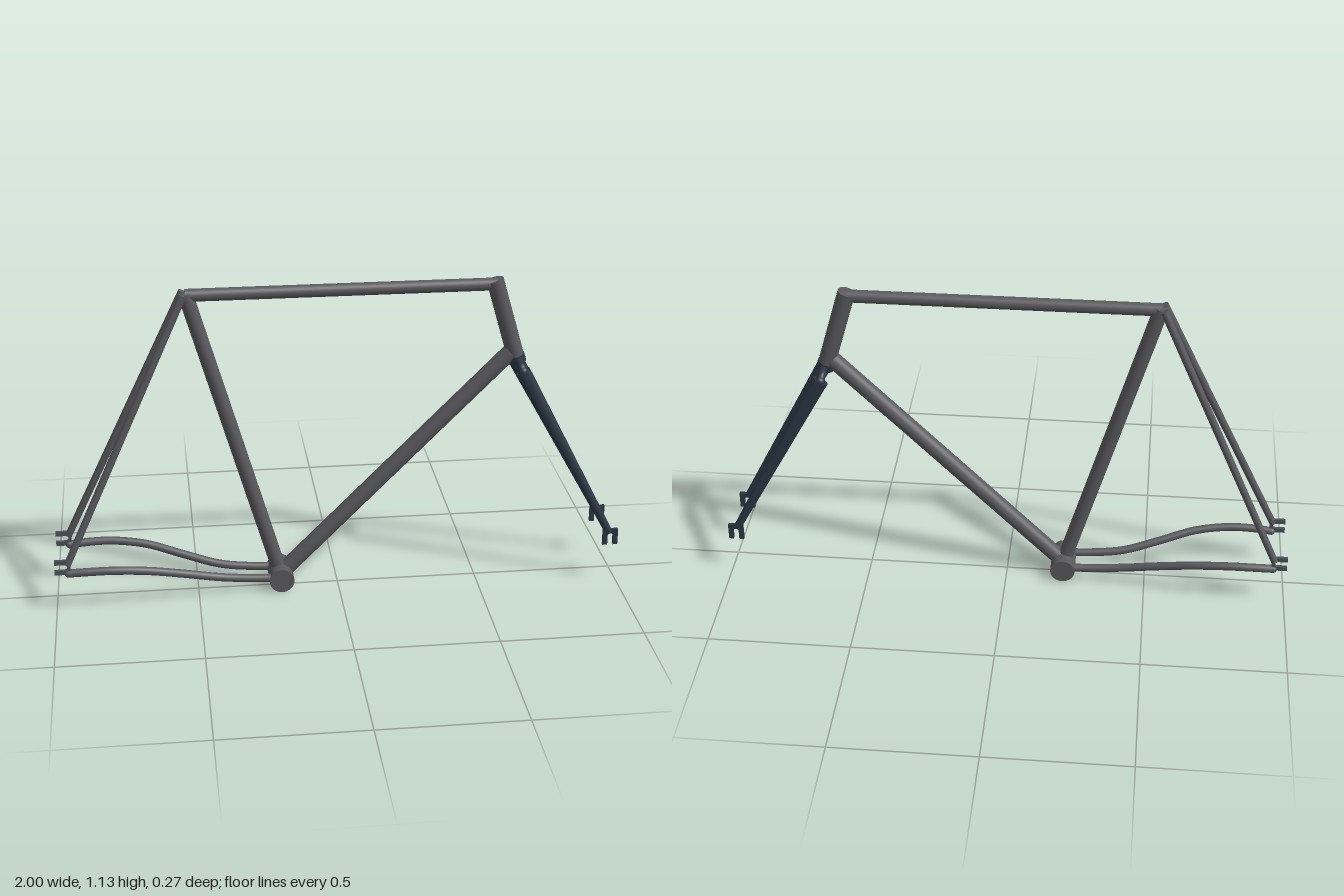
import * as THREE from 'three';

const V = (x, y, z = 0) => new THREE.Vector3(x, y, z);

export function createModel() {
  const model = new THREE.Group();
  model.name = 'bicycleFrame';
  const frameMat = new THREE.MeshStandardMaterial({ color: 0x59595e });
  const forkMat = new THREE.MeshStandardMaterial({ color: 0x2b3644 });
  const dropoutMat = new THREE.MeshStandardMaterial({ color: 0x4a5058 });

  const add = (name, geometry, material) => {
    const mesh = new THREE.Mesh(geometry, material);
    mesh.name = name;
    model.add(mesh);
    return mesh;
  };

  // Straight tube from a to b; flat < 1 gives an oval section, thinner along z
  const tube = (name, a, b, ra, rb, material = frameMat, flat = 1) => {
    const geo = new THREE.CylinderGeometry(rb, ra, a.distanceTo(b), 32);
    geo.scale(1, 1, flat);
    const mesh = add(name, geo, material);
    mesh.position.copy(a).lerp(b, 0.5);
    mesh.quaternion.setFromUnitVectors(V(0, 1, 0), b.clone().sub(a).normalize());
    return mesh;
  };

  // Forked plate: opening points along -y, origin at the centre of its closed edge
  const dropoutGeometry = (width, length, slot, depth) => {
    const w = width / 2, s = slot / 2;
    const shape = new THREE.Shape();
    shape.moveTo(-w, 0);
    shape.lineTo(-w, -length);
    shape.lineTo(-s, -length);
    shape.lineTo(-s, -length + depth);
    shape.absarc(0, -length + depth, s, Math.PI, 0, true);
    shape.lineTo(s, -length);
    shape.lineTo(w, -length);
    shape.lineTo(w, 0);
    shape.closePath();
    const geo = new THREE.ExtrudeGeometry(shape, { depth: 0.012, bevelEnabled: false, curveSegments: 10 });
    return geo.translate(0, 0, -0.006);
  };

  // Main triangle
  const bottom = V(-0.205, 0.045);
  const seat = V(-0.513, 1.115);
  tube('bottomBracketShell', V(-0.205, 0.045, -0.065), V(-0.205, 0.045, 0.065), 0.044, 0.044);
  tube('seatTube', bottom, seat, 0.026, 0.026);
  tube('topTube', V(-0.515, 1.108), V(0.55, 1.108), 0.022, 0.022);
  tube('downTube', bottom, V(0.605, 0.86), 0.029, 0.029);
  tube('headTube', V(0.622, 0.845), V(0.541, 1.123), 0.03, 0.03);

  // Fork crown: collar below the head tube and an arched bridge to both blades
  tube('crownCollar', V(0.63, 0.822), V(0.622, 0.848), 0.031, 0.031, forkMat);
  const arch = new THREE.CatmullRomCurve3([
    V(0.636, 0.808, -0.071), V(0.632, 0.823, -0.062), V(0.63, 0.829, -0.04),
    V(0.63, 0.83, 0), V(0.63, 0.829, 0.04), V(0.632, 0.823, 0.062), V(0.636, 0.808, 0.071),
  ]);
  add('forkCrown', new THREE.TubeGeometry(arch, 40, 0.014, 16, false), forkMat);

  for (const side of [1, -1]) {
    const label = side > 0 ? 'front' : 'back';

    // Rear stays
    tube(label + 'SeatStay', V(-0.955, 0.18, side * 0.117), V(-0.522, 1.115, side * 0.024), 0.0125, 0.0135);
    const path = new THREE.CatmullRomCurve3([
      V(-0.2, 0.05, side * 0.046), V(-0.3, 0.054, side * 0.047), V(-0.42, 0.068, side * 0.053),
      V(-0.55, 0.102, side * 0.077), V(-0.68, 0.136, side * 0.106),
      V(-0.8, 0.15, side * 0.118), V(-0.88, 0.15, side * 0.118), V(-0.952, 0.146, side * 0.113),
    ]);
    add(label + 'ChainStay', new THREE.TubeGeometry(path, 64, 0.0145, 16, false), frameMat);
    const cap = add(label + 'ChainStayEnd', new THREE.SphereGeometry(0.0145, 16, 12), frameMat);
    cap.position.set(-0.952, 0.146, side * 0.113);

    // Rear dropout opens backwards
    const rear = add(label + 'RearDropout', dropoutGeometry(0.054, 0.055, 0.022, 0.034), dropoutMat);
    rear.position.set(-0.945, 0.171, side * 0.114);
    rear.rotation.z = -Math.PI / 2;

    // Tapered fork blade with a rounded shoulder
    tube(label + 'ForkBlade', V(0.968, 0.19, side * 0.098), V(0.634, 0.812, side * 0.07),
      0.0135, 0.027, forkMat, 0.68);
    const shoulder = add(label + 'ForkShoulder', new THREE.SphereGeometry(0.018, 20, 14), forkMat);
    shoulder.position.set(0.636, 0.81, side * 0.07);

    // Front dropout opens downwards
    const front = add(label + 'ForkDropout', dropoutGeometry(0.054, 0.06, 0.02, 0.034), forkMat);
    front.position.set(0.973, 0.203, side * 0.098);
  }
  return model;
}
